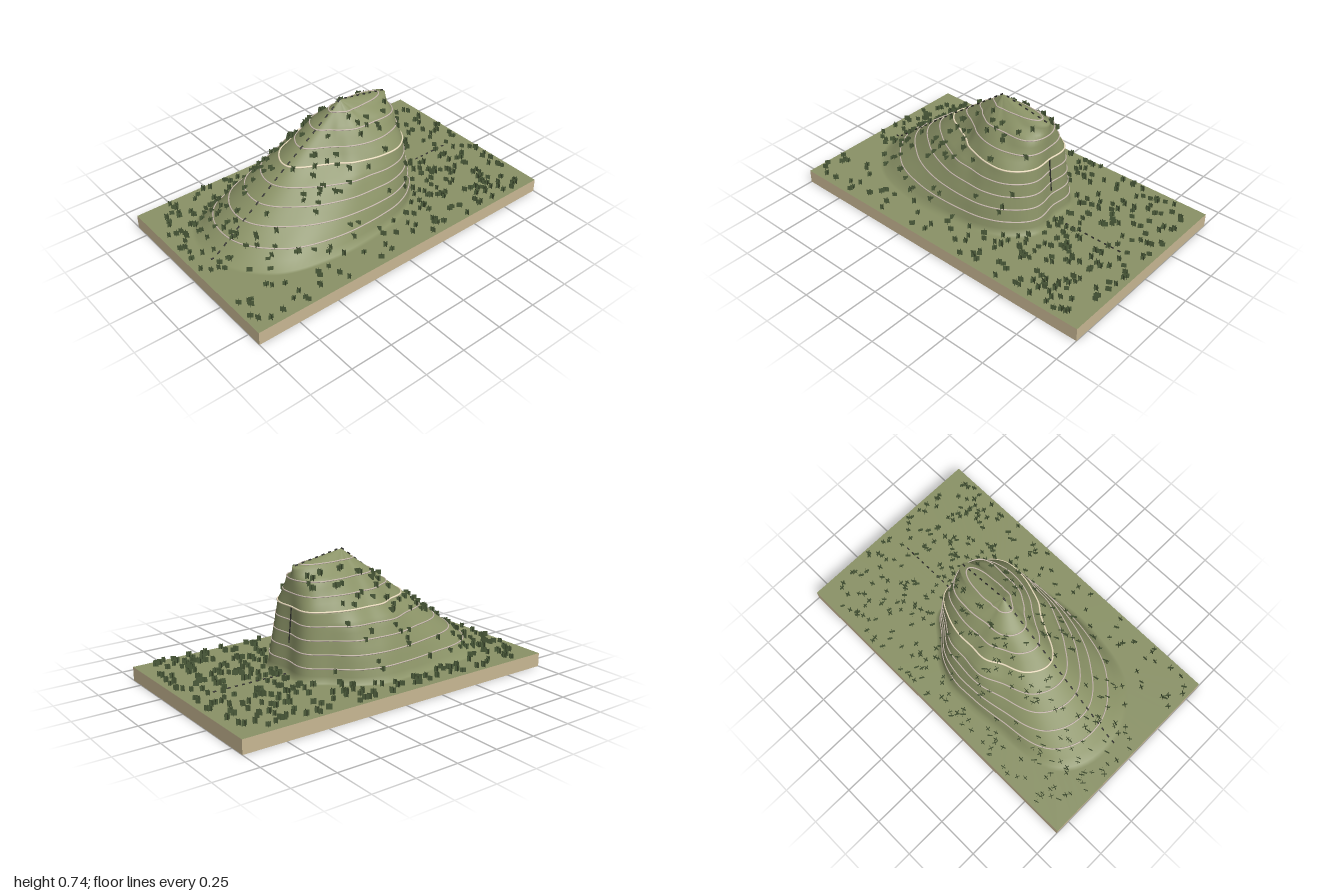
import * as THREE from 'three';
import { mergeGeometries } from 'three/addons/utils/BufferGeometryUtils.js';

const GROUND = 0.08, HALF_X = 1, HALF_Z = 0.593, RIDGE_Z = -0.01;

// Hill radii every 22.5 degrees (from +x towards +z) at each height level
const LEVELS = [0.08, 0.235, 0.39, 0.465, 0.61, 0.676, 0.735];
const RADII = [
  [0.372, 0.42, 0.40, 0.38, 0.38, 0.43, 0.55, 0.75, 0.86, 0.83, 0.57, 0.455, 0.42, 0.39, 0.37, 0.403],
  [0.353, 0.393, 0.375, 0.35, 0.335, 0.355, 0.42, 0.53, 0.66, 0.64, 0.48, 0.40, 0.37, 0.36, 0.345, 0.38],
  [0.336, 0.367, 0.345, 0.30, 0.265, 0.275, 0.295, 0.36, 0.46, 0.45, 0.36, 0.335, 0.30, 0.315, 0.32, 0.362],
  [0.331, 0.355, 0.33, 0.265, 0.22, 0.205, 0.20, 0.25, 0.36, 0.34, 0.27, 0.26, 0.24, 0.26, 0.30, 0.352],
  [0.322, 0.30, 0.19, 0.145, 0.125, 0.11, 0.11, 0.12, 0.164, 0.17, 0.16, 0.14, 0.13, 0.15, 0.20, 0.29],
  [0.319, 0.16, 0.09, 0.07, 0.06, 0.05, 0.05, 0.06, 0.077, 0.075, 0.07, 0.065, 0.06, 0.07, 0.09, 0.17],
  new Array(16).fill(0),
];

// Smooth periodic interpolation around one level
function ringRadius(row, angle) {
  const u = ((angle / (Math.PI * 2)) % 1 + 1) % 1 * 16;
  const i = Math.floor(u), t = u - i;
  const [a, b, c, d] = [-1, 0, 1, 2].map((k) => row[(i + k + 16) % 16]);
  return b + 0.5 * t * (c - a + t * (2 * a - 5 * b + 4 * c - d + t * (3 * (b - c) + d - a)));
}

// Point on the hill at an angle and height, pushed outwards by grow
function hillPoint(angle, h, grow = 0) {
  let k = 0;
  while (k < LEVELS.length - 2 && h > LEVELS[k + 1]) k++;
  const t = (h - LEVELS[k]) / (LEVELS[k + 1] - LEVELS[k]);
  const r = THREE.MathUtils.lerp(ringRadius(RADII[k], angle), ringRadius(RADII[k + 1], angle), t) + grow;
  return new THREE.Vector3(r * Math.cos(angle), h, RIDGE_Z + r * Math.sin(angle));
}

// Point on the rectangular rim of the ground, snapped into the corners
function rimPoint(angle) {
  const c = Math.cos(angle), s = Math.sin(angle);
  const reach = Math.min(HALF_X / Math.abs(c), (HALF_Z - Math.sign(s) * RIDGE_Z) / Math.abs(s));
  const p = new THREE.Vector3(reach * c, GROUND, RIDGE_Z + reach * s);
  if (Math.abs(p.x) > HALF_X - 0.12 && Math.abs(p.z) > HALF_Z - 0.08) {
    p.x = Math.sign(p.x) * HALF_X;
    p.z = Math.sign(p.z) * HALF_Z;
  }
  return p;
}

// Terrain height above any point of the base
function heightAt(x, z) {
  const angle = Math.atan2(z - RIDGE_Z, x), r = Math.hypot(x, z - RIDGE_Z);
  const radii = RADII.map((row) => ringRadius(row, angle));
  for (let k = 0; k < LEVELS.length - 1; k++) {
    if (r <= radii[k] && r >= radii[k + 1]) {
      const t = (radii[k] - r) / (radii[k] - radii[k + 1]);
      return THREE.MathUtils.lerp(LEVELS[k], LEVELS[k + 1], t);
    }
  }
  return GROUND;
}

function loop(count, pointAt) {
  return Array.from({ length: count }, (_, i) => pointAt((i / count) * Math.PI * 2));
}

// One sheet: rim, flat ground around the foot, then the hill up to its peak
function terrainGeometry(around) {
  const rings = [loop(around, rimPoint), loop(around, (a) => hillPoint(a, GROUND, 0.025))];
  for (let k = 0; k < LEVELS.length - 1; k++) {
    for (let s = 0; s < 4; s++) {
      const h = THREE.MathUtils.lerp(LEVELS[k], LEVELS[k + 1], s / 4);
      rings.push(loop(around, (a) => hillPoint(a, h)));
    }
  }
  rings.push(loop(around, (a) => hillPoint(a, LEVELS[LEVELS.length - 1])));
  const index = [];
  for (let j = 0; j < rings.length - 1; j++) {
    for (let i = 0; i < around; i++) {
      const a = j * around + i, b = j * around + (i + 1) % around;
      index.push(a, a + around, b, b, a + around, b + around);
    }
  }
  const geometry = new THREE.BufferGeometry().setFromPoints(rings.flat());
  geometry.setIndex(index);
  geometry.computeVertexNormals();
  return geometry;
}

export function createModel() {
  const model = new THREE.Group();
  const material = (name, color, side = THREE.DoubleSide) => {
    const m = new THREE.MeshStandardMaterial({ color, side });
    m.name = name;
    return m;
  };
  const grass = material('grass green', 0x8a9266);
  const tan = material('earth tan', 0xc8b793);
  const lineGrey = material('contour grey', 0xc4b6aa, THREE.FrontSide);
  const lineCream = material('index contour cream', 0xf2e4c4, THREE.FrontSide);
  const dashDark = material('dash charcoal', 0x2b2b28, THREE.FrontSide);
  const bushGreen = material('bush green', 0x4b5b3a);
  const add = (name, geometry, mat) => {
    const mesh = new THREE.Mesh(geometry, mat);
    mesh.name = name;
    model.add(mesh);
    return mesh;
  };

  // Open base walls
  for (const s of [-1, 1]) {
    const long = add('baseLongWall', new THREE.PlaneGeometry(HALF_X * 2, GROUND), tan);
    long.position.set(0, GROUND / 2, s * HALF_Z);
    long.rotation.y = s > 0 ? 0 : Math.PI;
    const short = add('baseShortWall', new THREE.PlaneGeometry(HALF_Z * 2, GROUND), tan);
    short.position.set(s * HALF_X, GROUND / 2, 0);
    short.rotation.y = s * Math.PI / 2;
  }

  // Ground and hollow hill
  add('terrain', terrainGeometry(144), grass);

  // Contour lines
  for (let i = 0; i < 8; i++) {
    const main = i === 4;
    const path = loop(144, (a) => hillPoint(a, 0.16 + i * 0.075, 0.001));
    add(main ? 'indexContour' : 'contour',
      new THREE.TubeGeometry(new THREE.CatmullRomCurve3(path, true), 200, main ? 0.005 : 0.0038, 14, true),
      main ? lineCream : lineGrey);
  }

  // Dashed section line over the ridge
  const dashes = [];
  for (let i = 0; i < 40; i++) {
    const x = -0.886 + i * 0.0435;
    const ends = [x, x + 0.019].map((px) => new THREE.Vector3(px, heightAt(px, RIDGE_Z) + 0.005, RIDGE_Z));
    dashes.push(new THREE.TubeGeometry(new THREE.LineCurve3(...ends), 1, 0.004, 14));
  }
  add('sectionLine', mergeGeometries(dashes), dashDark);

  // Scattered bushes made of two crossed upright cards, none on the cliff or summit
  let seed = 7;
  const random = () => (seed = (seed * 16807) % 2147483647) / 2147483647;
  const cards = [];
  for (let i = 0; i < 560; i++) {
    const x = (random() * 2 - 1) * 0.97, z = (random() * 2 - 1) * 0.57;
    const turn = random() * Math.PI, keep = random(), y = heightAt(x, z);
    const onHill = y > GROUND;
    if (onHill && (y > 0.675 || (x > 0.29 && y < 0.63))) continue;
    const sparse = z > 0.2 && x < 0.1 ? 0.55 : 1;
    if (keep > (onHill ? 0.75 : sparse)) continue;
    const size = 0.026 + random() * 0.007;
    const foot = onHill ? y - 0.005 : y;
    for (const a of [turn, turn + Math.PI / 2]) {
      cards.push(new THREE.PlaneGeometry(size, size).rotateY(a).translate(x, foot + size / 2, z));
    }
  }
  add('bushes', mergeGeometries(cards), bushGreen);
  return model;
}
